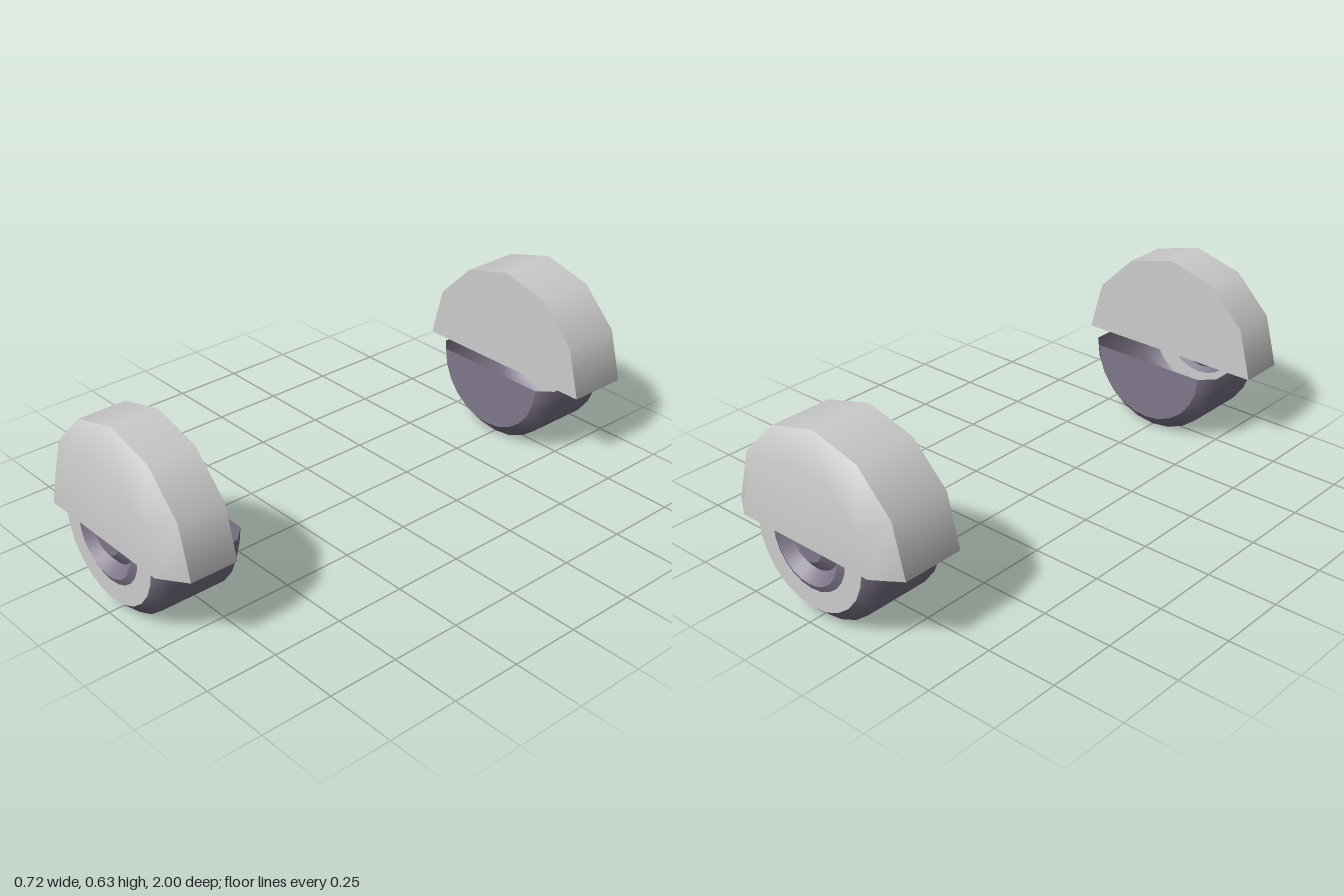
import * as THREE from 'three';

const AXLE_Y = 0.27;

function material(name, color) {
  return new THREE.MeshStandardMaterial({ name, color, side: THREE.DoubleSide });
}

// Half turn of a profile of [radius, z] points, listed from the inner side to the outer side
function halfTurn(name, profile, mat, segments, upper) {
  const points = profile.map(([r, z]) => new THREE.Vector2(r, z));
  const start = upper ? Math.PI / 2 : -Math.PI / 2;
  const geometry = new THREE.LatheGeometry(points, segments, start, Math.PI);
  geometry.rotateX(Math.PI / 2);
  const mesh = new THREE.Mesh(geometry, mat);
  mesh.name = name;
  return mesh;
}

function createWheel(name, guardInnerZ, rubber, metal) {
  const wheel = new THREE.Group();
  wheel.name = name;
  const lower = (part, profile, mat) => wheel.add(halfTurn(part, profile, mat, 12, false));
  const upper = (part, profile) => wheel.add(halfTurn(part, profile, metal, 6, true));

  // Tyre: flat inner wall and a tread with bevelled shoulders
  lower('tyreInnerWall', [[0, 0.652], [0.222, 0.652]], rubber);
  lower('tyreTread', [[0.222, 0.652], [0.27, 0.7], [0.27, 0.935], [0.225, 0.982]], rubber);

  // Pale ring on the outer wall
  lower('wallRing', [[0.225, 0.982], [0.157, 0.982]], metal);

  // Hub: raised lip, dished bowl, cone and flat cap, each with a crisp edge
  const hub = [[0.157, 0.982], [0.135, 0.993], [0.1, 0.955], [0.06, 0.985], [0, 0.985]];
  ['hubLip', 'hubBowl', 'hubCone', 'hubCap'].forEach((part, i) =>
    lower(part, [hub[i], hub[i + 1]], rubber));

  // Mudguard: hollow shell, open underneath
  upper('guardInnerWall', [[0, guardInnerZ], [0.36, guardInnerZ]]);
  upper('guardRim', [[0.36, guardInnerZ], [0.36, 0.937]]);
  upper('guardOuterWall', [[0.36, 0.937], [0.27, 1], [0, 1]]);

  wheel.position.y = AXLE_Y;
  return wheel;
}

export function createModel() {
  const rubber = material('dusky purple', 0x7f778a);
  const metal = material('light grey', 0xcccccc);

  const model = new THREE.Group();
  model.name = 'wheelPair';

  const front = createWheel('frontWheel', 0.77, rubber, metal);
  const rear = createWheel('rearWheel', 0.715, rubber, metal);
  rear.rotation.y = Math.PI;
  model.add(front, rear);
  return model;
}
